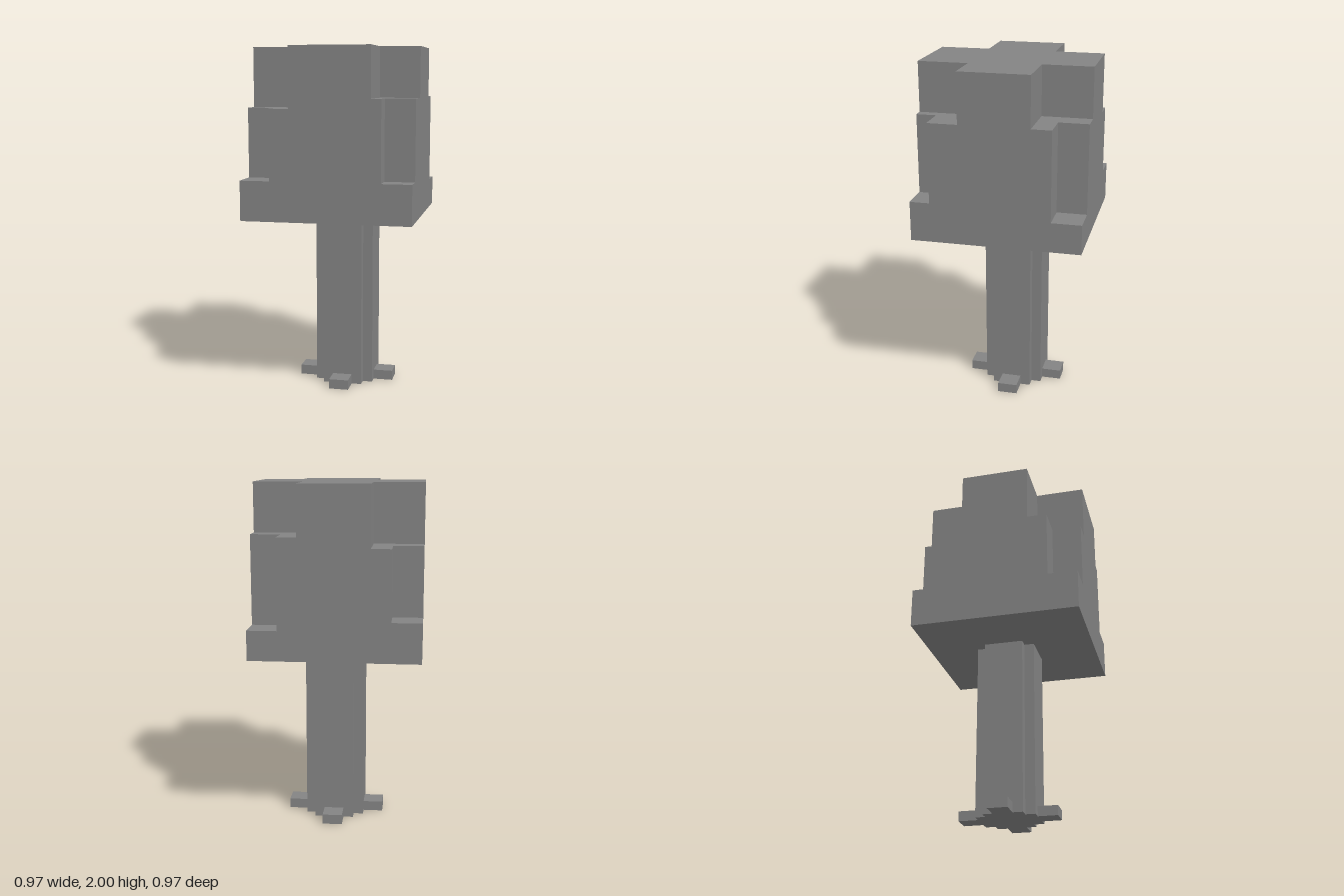
import * as THREE from 'three';

const U = 2 / 35; // one block
const material = new THREE.MeshStandardMaterial({ color: 0x838383, flatShading: true });

// Square outline with a rectangular bite at each corner.
// cuts: [a, b] per corner, where the inner corner of the bite lies (x, z distance from the centre), or null.
// Corner order: +x-z, -x-z, -x+z, +x+z
const SIGNS = [[1, 1], [-1, 1], [-1, -1], [1, -1]];
function notchedSquare(half, cuts) {
  const points = [];
  SIGNS.forEach(([sx, sy], i) => {
    const [a, b] = cuts[i] ?? [half, half];
    const corner = cuts[i] ? [[half, b], [a, b], [a, half]] : [[half, half]];
    if (sx * sy < 0) corner.reverse();
    corner.forEach(([x, y]) => points.push(new THREE.Vector2(sx * x * U, sy * y * U)));
  });
  return new THREE.Shape(points);
}

// Upright prism from an outline, between two heights in blocks
function prism(name, shape, y0, y1) {
  const geometry = new THREE.ExtrudeGeometry(shape, { depth: (y1 - y0) * U, bevelEnabled: false });
  geometry.rotateX(-Math.PI / 2);
  const mesh = new THREE.Mesh(geometry, material);
  mesh.name = name;
  mesh.position.y = y0 * U;
  return mesh;
}

export function createModel() {
  const model = new THREE.Group();
  model.name = 'blockTree';

  // Leafy crown: each corner has a small bite from "low" up and a larger one from "high" up
  const corners = [
    { low: 21, small: [5.5, 5.5], high: 30, large: [3.5, 3.5] },
    { low: 22, small: [5.5, 5.5], high: 29, large: [3.5, 3.5] },
    { low: 22, small: [5.5, 5.5], high: 29, large: [3.5, 3.5] },
    { low: 22, small: [5.5, 6.5], high: 30, large: [4.5, 3.5] },
  ];
  const crown = new THREE.Group();
  crown.name = 'crown';
  const levels = [18, 21, 22, 29, 30, 35];
  for (let i = 0; i < levels.length - 1; i++) {
    const y = levels[i];
    const cuts = corners.map((c) => (y >= c.high ? c.large : y >= c.low ? c.small : null));
    crown.add(prism(`crownLayer${i + 1}`, notchedSquare(8.5, cuts), y, levels[i + 1]));
  }
  model.add(crown);

  // Trunk with grooved corners, half a block off centre
  const base = new THREE.Group();
  base.name = 'trunkAndRoots';
  base.position.set(0.5 * U, 0, -0.5 * U);
  base.add(prism('trunk', notchedSquare(3, Array(4).fill([2, 2])), 0, 18));

  // Four roots, one per side
  for (let i = 0; i < 4; i++) {
    const root = new THREE.Mesh(new THREE.BoxGeometry(2 * U, U, 2 * U), material);
    root.name = `root${i + 1}`;
    const angle = (i * Math.PI) / 2;
    root.position.set(Math.sin(angle) * 4 * U, U / 2, Math.cos(angle) * 4 * U);
    root.rotation.y = angle;
    base.add(root);
  }
  model.add(base);

  return model;
}
